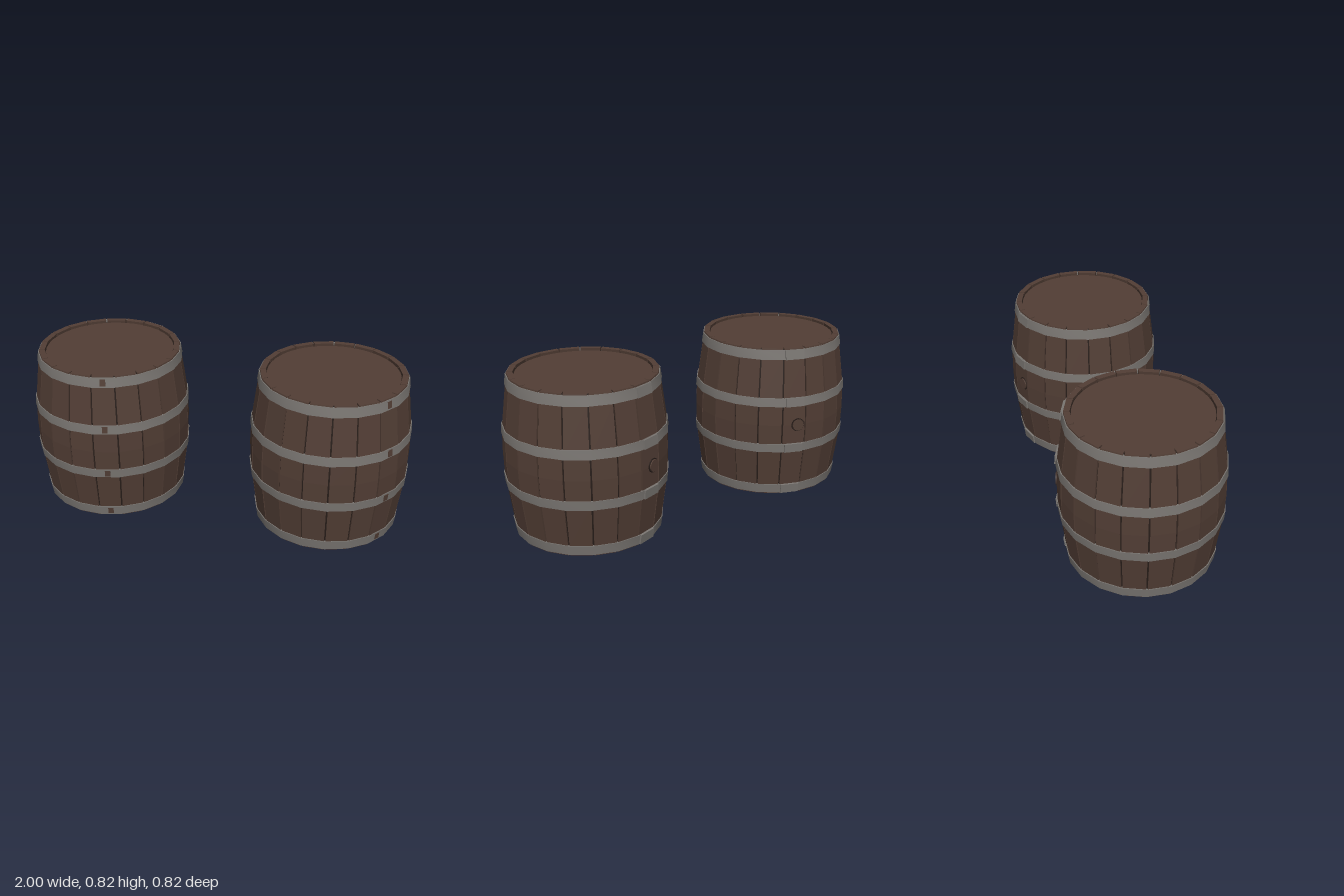
import * as THREE from 'three';
import { mergeGeometries, toCreasedNormals } from 'three/addons/utils/BufferGeometryUtils.js';

const SIDES = 20;
const STEP = (Math.PI * 2) / SIDES;
const HEIGHT = 0.82;
const rad = THREE.MathUtils.degToRad;

const make = (name, color) => {
  const m = new THREE.MeshStandardMaterial({ color });
  m.name = name;
  return m;
};

// Barrel bulge: corner radius of the staves at each height
const PROFILE = [[0, 0.368], [0.055, 0.376], [0.28, 0.406], [0.41, 0.41], [0.54, 0.406], [0.765, 0.376], [HEIGHT, 0.368]];
function radiusAt(y) {
  let i = 1;
  while (i < PROFILE.length - 1 && y > PROFILE[i][0]) i++;
  const [y0, r0] = PROFILE[i - 1], [y1, r1] = PROFILE[i];
  return r0 + ((r1 - r0) * (y - y0)) / (y1 - y0);
}

// One curved plank: a box bent onto the profile, with a thin gap at each side
function staveGeometry() {
  const g = new THREE.BoxGeometry(1, 1, 1, 1, PROFILE.length - 1, 1);
  const p = g.attributes.position;
  for (let i = 0; i < p.count; i++) {
    const y = PROFILE[Math.round((p.getY(i) + 0.5) * (PROFILE.length - 1))][0];
    const r = radiusAt(y) - (p.getZ(i) > 0 ? 0 : 0.03);
    const a = p.getX(i) * (STEP - 0.02);
    p.setXYZ(i, r * Math.sin(a), y, r * Math.cos(a));
  }
  const flat = g.toNonIndexed();
  flat.computeVertexNormals();
  return flat;
}

// Closed band between two heights, standing proud of the staves
function hoopGeometry(y0, y1) {
  const a = radiusAt(y0) + 0.005, b = radiusAt(y1) + 0.005;
  const pts = [[a, y0], [b, y1], [b - 0.012, y1], [a - 0.012, y0], [a, y0]]
    .map(([x, y]) => new THREE.Vector2(x, y));
  return toCreasedNormals(new THREE.LatheGeometry(pts, SIDES, STEP / 2), 0.6);
}

// Place an object on the side wall; angle runs from +x towards +z
function placeOnWall(obj, angle, r, y) {
  const a = rad(angle);
  obj.position.set(Math.cos(a) * r, y, Math.sin(a) * r);
  obj.rotation.y = Math.PI / 2 - a;
}

function createBarrel(mats) {
  const barrel = new THREE.Group();
  const add = (name, geo, mat) => {
    const m = new THREE.Mesh(geo, mat);
    m.name = name;
    barrel.add(m);
    return m;
  };

  // Staves
  const stave = staveGeometry();
  const staves = [];
  for (let i = 0; i < SIDES; i++) staves.push(stave.clone().rotateY(i * STEP));
  add('staves', mergeGeometries(staves), mats.wood);

  // Dark lining showing through the seams
  const lining = PROFILE.map(([y, r]) =>
    new THREE.Vector2(r - 0.009, THREE.MathUtils.clamp(y, 0.003, HEIGHT - 0.003)));
  add('seams', new THREE.LatheGeometry(lining, SIDES, STEP / 2), mats.seam);

  // Heads, slightly recessed, with a dark groove around them
  add('headGroove', new THREE.CylinderGeometry(0.35, 0.35, HEIGHT - 0.034, 40), mats.seam)
    .position.y = HEIGHT / 2;
  add('heads', new THREE.CylinderGeometry(0.333, 0.333, HEIGHT - 0.024, 40), mats.wood)
    .position.y = HEIGHT / 2;

  // Iron hoops, each with an overlapping end and a worn patch
  for (const [y0, y1] of [[0.006, 0.057], [0.258, 0.305], [0.515, 0.562], [0.763, 0.813]]) {
    add('hoop', hoopGeometry(y0, y1), mats.iron);
    const mid = (y0 + y1) / 2;
    const apothem = (radiusAt(mid) + 0.005) * Math.cos(STEP / 2);
    const tilt = Math.atan2(radiusAt(y0) - radiusAt(y1), y1 - y0);

    const lap = add('hoopLap', new THREE.BoxGeometry(0.1, y1 - y0, 0.009), mats.iron);
    placeOnWall(lap, -108, apothem + 0.003, mid);
    const patch = add('wornPatch', new THREE.BoxGeometry(0.028, 0.035, 0.004), mats.wood);
    placeOnWall(patch, 36, apothem, mid);
    for (const part of [lap, patch]) {
      part.rotation.order = 'YXZ';
      part.rotation.x = -tilt;
    }
  }

  // Bung with a dark surround
  const disc = (r, d) => new THREE.CylinderGeometry(r, r, d, 16).rotateX(Math.PI / 2);
  placeOnWall(add('bungRing', disc(0.036, 0.02), mats.seam), -111, 0.399, 0.41);
  placeOnWall(add('bung', disc(0.031, 0.03), mats.wood), -111, 0.4, 0.41);
  return barrel;
}

export function createModel() {
  const mats = {
    wood: make('wood', 0x523e35),
    seam: make('darkSeam', 0x271d19),
    iron: make('iron', 0x7a7672),
  };
  const model = new THREE.Group();
  model.name = 'barrels';
  for (const [name, x, turn] of [['leftBarrel', 0.592, 0], ['rightBarrel', -0.592, -39]]) {
    const b = createBarrel(mats);
    b.name = name;
    b.position.x = x;
    b.rotation.y = rad(turn);
    model.add(b);
  }
  return model;
}
